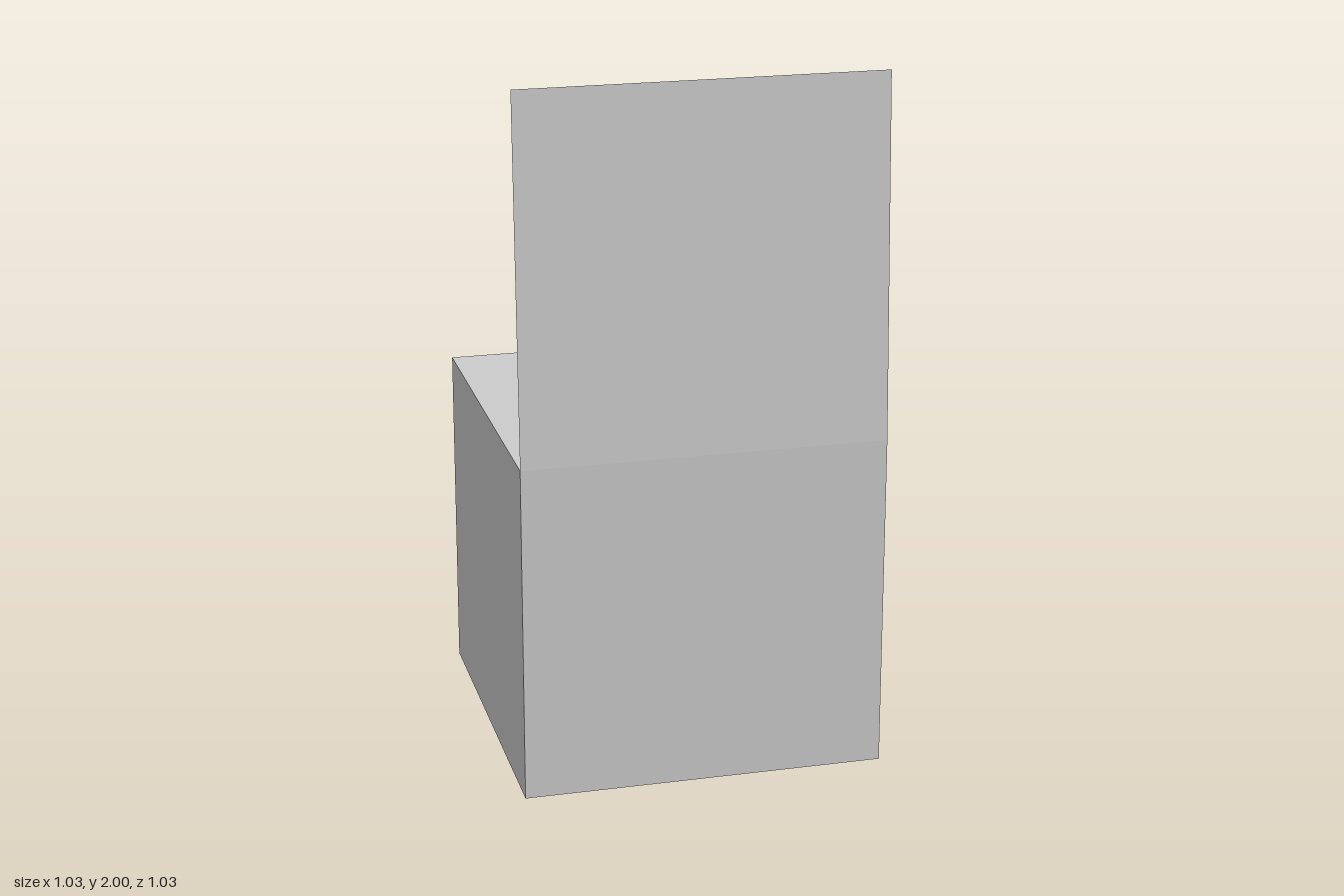
import * as THREE from 'three';

const SIDE = 1.034;   // width and depth of the box
const HEIGHT = 0.97;  // height of the box
const LEAN = 0.045;   // how far the raised lid's top edge tips back
const LID_RISE = 2 - HEIGHT;

export function createModel() {
  const model = new THREE.Group();
  model.name = 'openLidBox';
  const material = new THREE.MeshStandardMaterial({ color: 0xcccccc, flatShading: true });

  // Closed box body
  const body = new THREE.Mesh(new THREE.BoxGeometry(SIDE, HEIGHT, SIDE), material);
  body.name = 'boxBody';
  body.position.y = HEIGHT / 2;
  model.add(body);

  // Thin lid, hinged on the front top edge and leaning slightly back
  const lidMaterial = material.clone();
  lidMaterial.side = THREE.DoubleSide;
  const lidLength = Math.hypot(LID_RISE, LEAN);
  const lidGeometry = new THREE.PlaneGeometry(SIDE, lidLength).translate(0, lidLength / 2, 0);
  const lid = new THREE.Mesh(lidGeometry, lidMaterial);
  lid.name = 'lid';
  lid.position.set(0, HEIGHT, SIDE / 2);
  lid.rotation.x = -Math.atan2(LEAN, LID_RISE);
  model.add(lid);

  return model;
}
